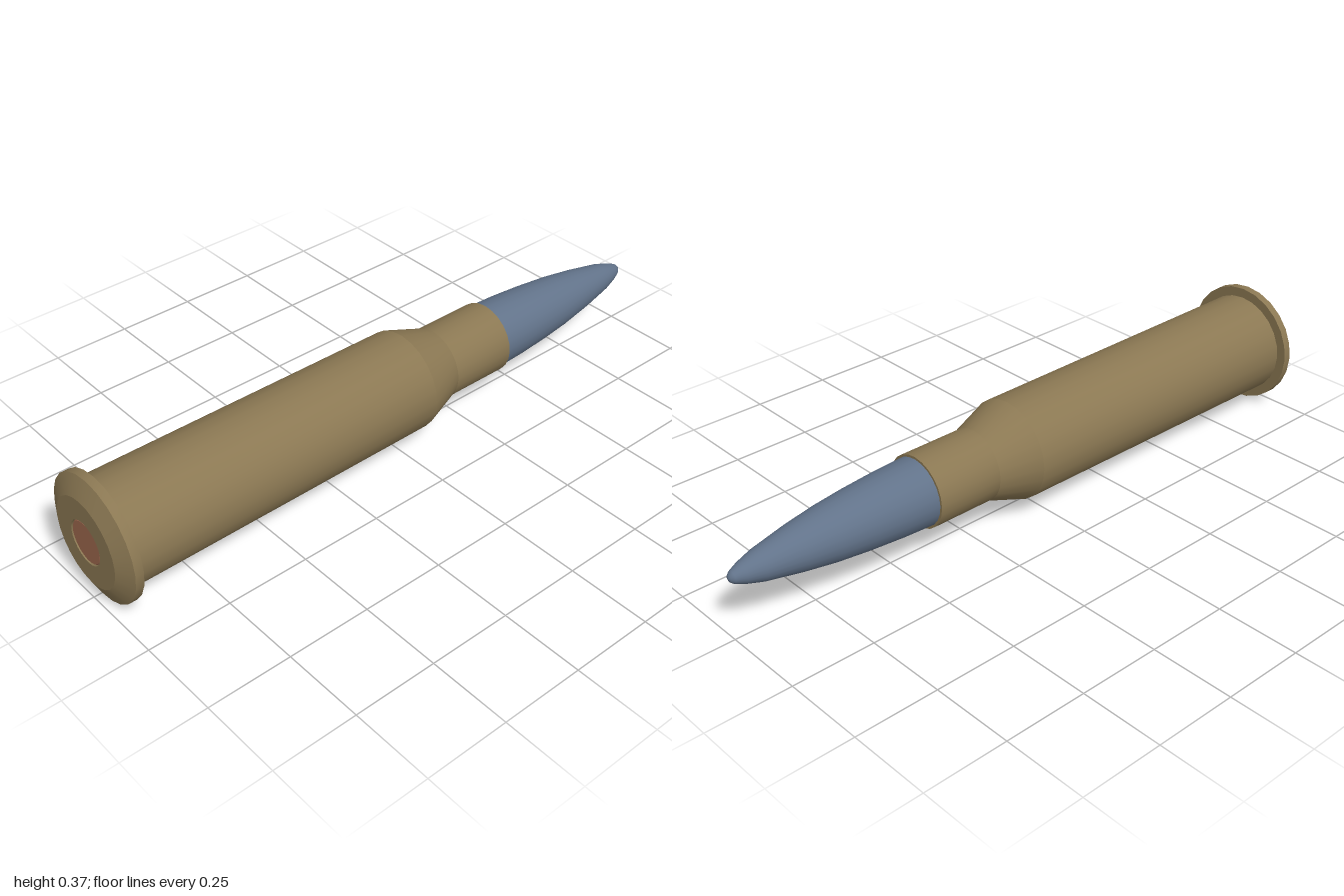
import * as THREE from 'three';
import { toCreasedNormals } from 'three/addons/utils/BufferGeometryUtils.js';

const AXIS_Y = 0.187;

// Revolve [radius, z] pairs, listed from back (-z) to front (+z), around the long axis
function turned(name, color, profile, sides, crease) {
  const points = profile.map(([r, z]) => new THREE.Vector2(r, z));
  let geometry = new THREE.LatheGeometry(points, sides);
  geometry.rotateX(Math.PI / 2);
  if (crease) geometry = toCreasedNormals(geometry, crease);
  const mesh = new THREE.Mesh(geometry, new THREE.MeshStandardMaterial({ color }));
  mesh.name = name;
  mesh.position.y = AXIS_Y;
  return mesh;
}

export function createModel() {
  const group = new THREE.Group();
  group.name = 'cartridge';

  // Brass case: mouth, neck, shoulder, tapered body, rim and primer pocket
  group.add(turned('case', 0x8b7853, [
    [0.098, -0.38], [0.1, -0.4], [0.109, -0.4], [0.109, -0.19],
    [0.152, -0.065], [0.157, 0.95], [0.187, 0.95], [0.187, 0.975],
    [0.133, 1], [0.066, 1], [0.066, 0.98], [0, 0.98],
  ], 24, 0.3));

  // Rounded, tapering projectile seated in the neck
  group.add(turned('projectile', 0x62738a, [
    [0, -1], [0.01, -0.997], [0.018, -0.988], [0.03, -0.96], [0.045, -0.91],
    [0.066, -0.8], [0.081, -0.7], [0.091, -0.6], [0.098, -0.5], [0.102, -0.4], [0.102, -0.37],
  ], 24));

  // Copper primer disc in the base
  group.add(turned('primer', 0x9d684e, [
    [0.064, 0.975], [0.064, 0.995], [0.061, 0.998], [0, 0.998],
  ], 32, 0.3));

  return group;
}
